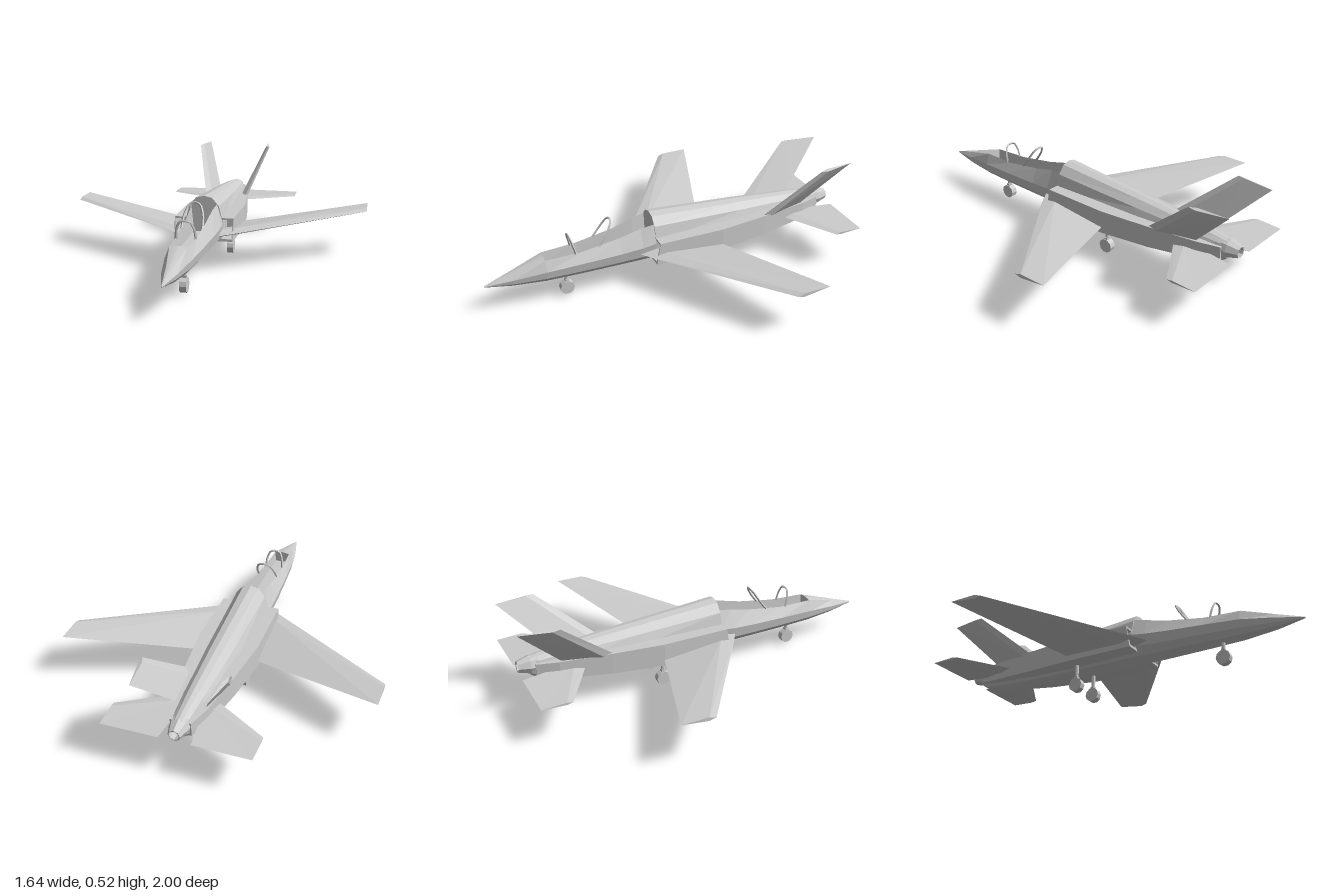
import * as THREE from 'three';

const V = (x, y, z) => new THREE.Vector3(x, y, z);
const material = new THREE.MeshStandardMaterial({ color: 0xcccccc, flatShading: true });
const thin = new THREE.MeshStandardMaterial({ color: 0xcccccc, flatShading: true, side: THREE.DoubleSide });

// Closed skin through equal-sized rings, capped at both ends and turned outward.
function loft(rings) {
  const tris = [];
  const n = rings[0].length;
  const centre = r => r.reduce((s, p) => s.add(p), V(0, 0, 0)).divideScalar(n);
  const first = rings[0], last = rings[rings.length - 1];
  const c0 = centre(first), c1 = centre(last);
  for (let i = 0; i < n; i++) {
    const j = (i + 1) % n;
    tris.push([c0, first[i], first[j]], [c1, last[j], last[i]]);
    for (let k = 0; k < rings.length - 1; k++) {
      const a = rings[k], b = rings[k + 1];
      tris.push([a[i], b[i], b[j]], [a[i], b[j], a[j]]);
    }
  }
  const volume = tris.reduce((s, [a, b, c]) => s + a.dot(b.clone().cross(c)), 0);
  const points = tris.flatMap(t => (volume < 0 ? [t[0], t[2], t[1]] : t));
  const geometry = new THREE.BufferGeometry().setFromPoints(points);
  geometry.computeVertexNormals();
  return geometry;
}

function add(parent, name, geometry, mat = material) {
  const mesh = new THREE.Mesh(geometry, mat);
  mesh.name = name;
  parent.add(mesh);
  return mesh;
}

// Half section from keel to spine, mirrored into a full ring.
function bodyRing([z, w, b, m, sx, sy, fx, fy, t]) {
  const half = [[0.55 * w, b + (m - b) * 0.1], [0.9 * w, b + (m - b) * 0.45], [w, m], [sx, sy], [fx, fy]];
  return [
    V(0, b, z), ...half.map(([x, y]) => V(x, y, z)),
    V(0, t, z), ...half.slice().reverse().map(([x, y]) => V(-x, y, z)),
  ];
}

// Thin wedge-nosed section between a leading and a trailing edge point.
function foil(lead, trail, thickness, up) {
  const mid = lead.clone().lerp(trail, 0.2);
  const offset = up.clone().multiplyScalar(thickness / 2);
  return [lead, mid.clone().add(offset), trail, mid.clone().sub(offset)];
}

function intakeRing([z, x0, x1, y0, y1, slant = 0]) {
  return [V(x0, y0, z + slant), V(x1, y0, z + slant), V(x1, y1, z), V(x0, y1, z)];
}

function hoop(parent, name, points) {
  const path = new THREE.CatmullRomCurve3(points.map(p => V(...p)), false, 'catmullrom', 0.35);
  add(parent, name, new THREE.TubeGeometry(path, 16, 0.006, 4, false), thin);
}

function gear(parent, name, x, y, z, top) {
  const leg = new THREE.Group();
  leg.name = name;
  leg.position.set(x, y, z);
  const wheel = add(leg, 'wheel', new THREE.CylinderGeometry(0.038, 0.038, 0.034, 10));
  wheel.rotation.z = Math.PI / 2;
  const height = top - y;
  add(leg, 'strut', new THREE.CylinderGeometry(0.01, 0.01, height, 8)).position.y = height / 2;
  add(leg, 'fork', new THREE.BoxGeometry(0.026, 0.03, 0.02)).position.y = 0.032;
  parent.add(leg);
}

export function createModel() {
  const jet = new THREE.Group();
  jet.name = 'jetAircraft';

  // Fuselage: z, half width, keel, widest height, shoulder x y, inner x y, centre top.
  // Repeated stations form the walls at both ends of the open cockpit.
  const stations = [
    [1.0, 0.003, 0.162, 0.166, 0.002, 0.168, 0.001, 0.169, 0.17],
    [0.86, 0.037, 0.142, 0.185, 0.016, 0.212, 0.008, 0.214, 0.215],
    [0.69, 0.065, 0.13, 0.205, 0.042, 0.262, 0.02, 0.266, 0.268],
    [0.69, 0.065, 0.13, 0.205, 0.042, 0.262, 0.036, 0.205, 0.205],
    [0.5, 0.08, 0.128, 0.215, 0.05, 0.268, 0.045, 0.2, 0.2],
    [0.3, 0.092, 0.128, 0.225, 0.054, 0.3, 0.048, 0.2, 0.2],
    [0.18, 0.099, 0.128, 0.235, 0.058, 0.33, 0.05, 0.2, 0.2],
    [0.11, 0.1, 0.128, 0.245, 0.068, 0.345, 0.052, 0.2, 0.2],
    [0.11, 0.1, 0.128, 0.25, 0.078, 0.335, 0.042, 0.378, 0.388],
    [-0.4, 0.09, 0.133, 0.25, 0.065, 0.31, 0.033, 0.342, 0.35],
    [-0.7, 0.075, 0.15, 0.245, 0.05, 0.295, 0.026, 0.318, 0.325],
    [-0.87, 0.053, 0.172, 0.242, 0.04, 0.284, 0.02, 0.3, 0.305],
    [-0.91, 0.04, 0.2, 0.248, 0.032, 0.28, 0.017, 0.295, 0.298],
  ];
  add(jet, 'fuselage', loft(stations.map(bodyRing)));

  // Exhaust nozzle, open at the rear
  const nozzleProfile = [[0.05, 0], [0.048, 0.05], [0.03, 0.11], [0.024, 0.108], [0.03, 0.04], [0, 0.03]];
  const nozzle = add(jet, 'exhaustNozzle',
    new THREE.LatheGeometry(nozzleProfile.map(p => new THREE.Vector2(...p)), 8), thin);
  nozzle.rotation.x = -Math.PI / 2;
  nozzle.position.set(0, 0.253, -0.86);

  // Canopy frame
  hoop(jet, 'windscreenFrame', [
    [-0.048, 0.262, 0.53], [-0.043, 0.31, 0.542], [-0.024, 0.35, 0.553],
    [0.024, 0.35, 0.553], [0.043, 0.31, 0.542], [0.048, 0.262, 0.53],
  ]);
  hoop(jet, 'canopyHoop', [
    [-0.052, 0.28, 0.405], [-0.048, 0.335, 0.365], [-0.03, 0.385, 0.335], [0, 0.397, 0.326],
    [0.03, 0.385, 0.335], [0.048, 0.335, 0.365], [0.052, 0.28, 0.405],
  ]);

  for (const s of [1, -1]) {
    const side = s > 0 ? 'left' : 'right';
    const flip = rings => loft(rings.map(r => r.map(p => V(p.x * s, p.y, p.z))));

    // Air intake: duct end, inner lip, outer lip, then the skin running aft
    add(jet, side + 'Intake', flip([
      [0.0, 0.1, 0.145, 0.172, 0.26],
      [0.11, 0.095, 0.148, 0.168, 0.264, 0.02],
      [0.11, 0.07, 0.155, 0.155, 0.274, 0.02],
      [-0.25, 0.06, 0.158, 0.153, 0.275],
      [-0.52, 0.05, 0.128, 0.163, 0.276],
      [-0.78, 0.03, 0.088, 0.182, 0.276],
      [-0.89, 0.02, 0.052, 0.2, 0.272],
    ].map(intakeRing)));

    // Main wing
    const up = V(0, 1, 0);
    add(jet, side + 'Wing', flip([
      foil(V(0.06, 0.195, 0.215), V(0.06, 0.178, -0.22), 0.036, up),
      foil(V(0.155, 0.202, 0.155), V(0.155, 0.184, -0.25), 0.034, up),
      foil(V(0.82, 0.252, -0.305), V(0.82, 0.264, -0.48), 0.02, up),
    ]));

    // Tailplane
    add(jet, side + 'Tailplane', flip([
      foil(V(0.04, 0.222, -0.62), V(0.08, 0.222, -0.97), 0.02, up),
      foil(V(0.37, 0.22, -0.815), V(0.37, 0.22, -0.97), 0.012, up),
    ]));

    // Canted tail fin
    const out = V(0.94, -0.33, 0);
    add(jet, side + 'Fin', flip([
      foil(V(0.1, 0.24, -0.475), V(0.06, 0.24, -0.735), 0.034, out),
      foil(V(0.118, 0.278, -0.52), V(0.078, 0.278, -0.77), 0.032, out),
      foil(V(0.208, 0.52, -0.8), V(0.182, 0.52, -1), 0.02, out),
    ]));

    gear(jet, side + 'MainGear', 0.083 * s, 0.04, -0.23, 0.18);
  }
  gear(jet, 'noseGear', 0, 0.05, 0.575, 0.16);

  return jet;
}
